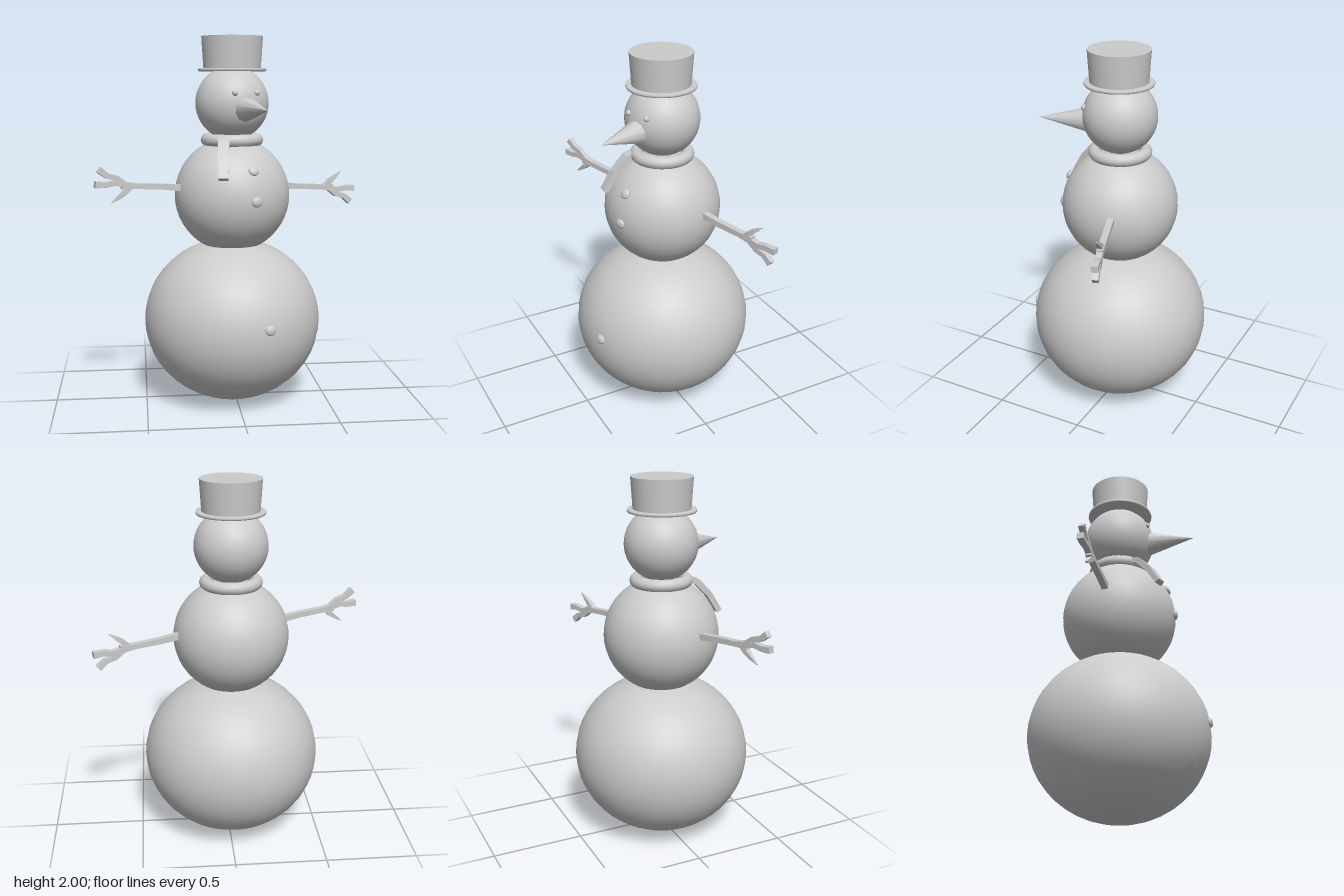
import * as THREE from 'three';

const material = new THREE.MeshStandardMaterial({ color: 0xcccccc });
const flatMaterial = new THREE.MeshStandardMaterial({ color: 0xcccccc, flatShading: true });

function add(parent, name, geometry, x = 0, y = 0, z = 0, mat = material) {
  const mesh = new THREE.Mesh(geometry, mat);
  mesh.name = name;
  mesh.position.set(x, y, z);
  parent.add(mesh);
  return mesh;
}

// Square bar swept along a path in the xy plane; each point is [x, y, thickness, depth]
function bar(points) {
  const pos = [], index = [], last = points.length - 1;
  points.forEach(([x, y, t, d], i) => {
    const a = points[Math.max(i - 1, 0)], b = points[Math.min(i + 1, last)];
    const len = Math.hypot(b[0] - a[0], b[1] - a[1]);
    const nx = -(b[1] - a[1]) / len * t / 2, ny = (b[0] - a[0]) / len * t / 2;
    for (const [s, q] of [[1, 1], [1, -1], [-1, -1], [-1, 1]]) pos.push(x + nx * s, y + ny * s, q * d / 2);
    if (i === last) return;
    for (let k = 0; k < 4; k++) {
      const p = i * 4 + k, r = i * 4 + (k + 1) % 4;
      index.push(p, p + 4, r, r, p + 4, r + 4);
    }
  });
  const e = last * 4;
  index.push(0, 1, 2, 0, 2, 3, e, e + 2, e + 1, e, e + 3, e + 2);
  const g = new THREE.BufferGeometry();
  g.setAttribute('position', new THREE.Float32BufferAttribute(pos, 3));
  g.setIndex(index);
  g.computeVertexNormals();
  return g;
}

// Branch arm with two blunt fingers and a thin twig
function arm(name) {
  const g = new THREE.Group();
  g.name = name;
  add(g, 'branch', bar([[0.27, -0.004, 0.036, 0.036], [0.42, -0.02, 0.03, 0.034],
    [0.55, -0.028, 0.028, 0.034], [0.63, -0.036, 0.04, 0.034]]), 0, 0, 0, flatMaterial);
  add(g, 'middleFinger', bar([[0.6, -0.035, 0.03, 0.032], [0.67, -0.05, 0.028, 0.032],
    [0.72, -0.042, 0.028, 0.034], [0.775, -0.046, 0.034, 0.036]]), 0, 0, 0, flatMaterial);
  add(g, 'outerFinger', bar([[0.6, -0.03, 0.03, 0.03], [0.66, -0.075, 0.028, 0.03],
    [0.71, -0.088, 0.028, 0.03], [0.752, -0.122, 0.034, 0.032]]), 0, 0, 0, flatMaterial);
  add(g, 'twig', bar([[0.58, -0.03, 0.026, 0.03], [0.62, 0.006, 0.026, 0.028],
    [0.65, 0.028, 0.018, 0.022], [0.688, 0.054, 0.004, 0.006]]), 0, 0, 0.004, flatMaterial);
  return g;
}

export function createModel() {
  const root = new THREE.Group();
  root.name = 'snowman';

  // Everything is centred on the body axis; the face and arms are turned to its left
  const body = new THREE.Group();
  body.name = 'body';
  body.position.x = -0.018;
  root.add(body);
  const turned = new THREE.Group();
  turned.name = 'turnedParts';
  turned.rotation.y = 0.32;
  body.add(turned);

  // Snowballs
  const ball = new THREE.SphereGeometry(1, 36, 24);
  add(body, 'bottomBall', ball, 0, 0.45, 0).scale.set(0.486, 0.45, 0.486);
  add(body, 'middleBall', ball, 0, 1.145, 0).scale.setScalar(0.315);
  add(body, 'head', ball, 0, 1.645, 0).scale.setScalar(0.199);

  // Scarf: ring and hanging tail
  add(body, 'scarfRing', new THREE.TorusGeometry(0.137, 0.034, 12, 36).rotateX(Math.PI / 2), 0, 1.447, 0);
  const tail = add(body, 'scarfTail', bar([[0.12, 1.46, 0.03, 0.06], [0.18, 1.435, 0.034, 0.06],
    [0.25, 1.36, 0.032, 0.056], [0.31, 1.262, 0.03, 0.052]]), -0.045, 0, 0, flatMaterial);
  tail.rotation.y = -Math.PI / 2 - 0.1;

  // Top hat
  const hat = [[0, 1.815], [0.183, 1.815], [0.186, 1.823], [0.183, 1.831], [0.155, 1.831],
    [0.155, 1.831], [0.166, 2], [0.166, 2], [0, 2]];
  // Separate bands keep the edges crisp
  const hatGroup = new THREE.Group();
  hatGroup.name = 'hat';
  hatGroup.position.z = 0.005;
  body.add(hatGroup);
  const lathe = (pts) => new THREE.LatheGeometry(pts.map(([r, y]) => new THREE.Vector2(r, y)), 36);
  add(hatGroup, 'brim', lathe(hat.slice(0, 5)));
  add(hatGroup, 'crown', lathe(hat.slice(5, 7)));
  add(hatGroup, 'crownTop', lathe(hat.slice(7)));

  // Carrot nose
  add(turned, 'nose', new THREE.ConeGeometry(0.073, 0.285, 10).rotateX(Math.PI / 2), 0, 1.617, 0.295);

  // Eyes
  for (const side of [-1, 1]) {
    const eye = add(turned, side > 0 ? 'leftEye' : 'rightEye', ball, side * 0.063, 1.702, 0.18);
    eye.scale.setScalar(0.016);
  }

  // Buttons: flattened beads lying on the snowballs
  for (const [y, z, tilt] of [[1.3, 0.277, -0.5], [1.14, 0.318, 0], [0.495, 0.485, -0.1]]) {
    const button = add(turned, 'button', ball, 0, y, z);
    button.scale.set(0.029, 0.027, 0.014);
    button.rotation.x = tilt;
  }

  // Arms: the right one is the left one given a half turn
  const left = arm('leftArm'), right = arm('rightArm');
  left.position.y = right.position.y = 1.19;
  right.rotation.z = Math.PI;
  turned.add(left, right);

  return root;
}
